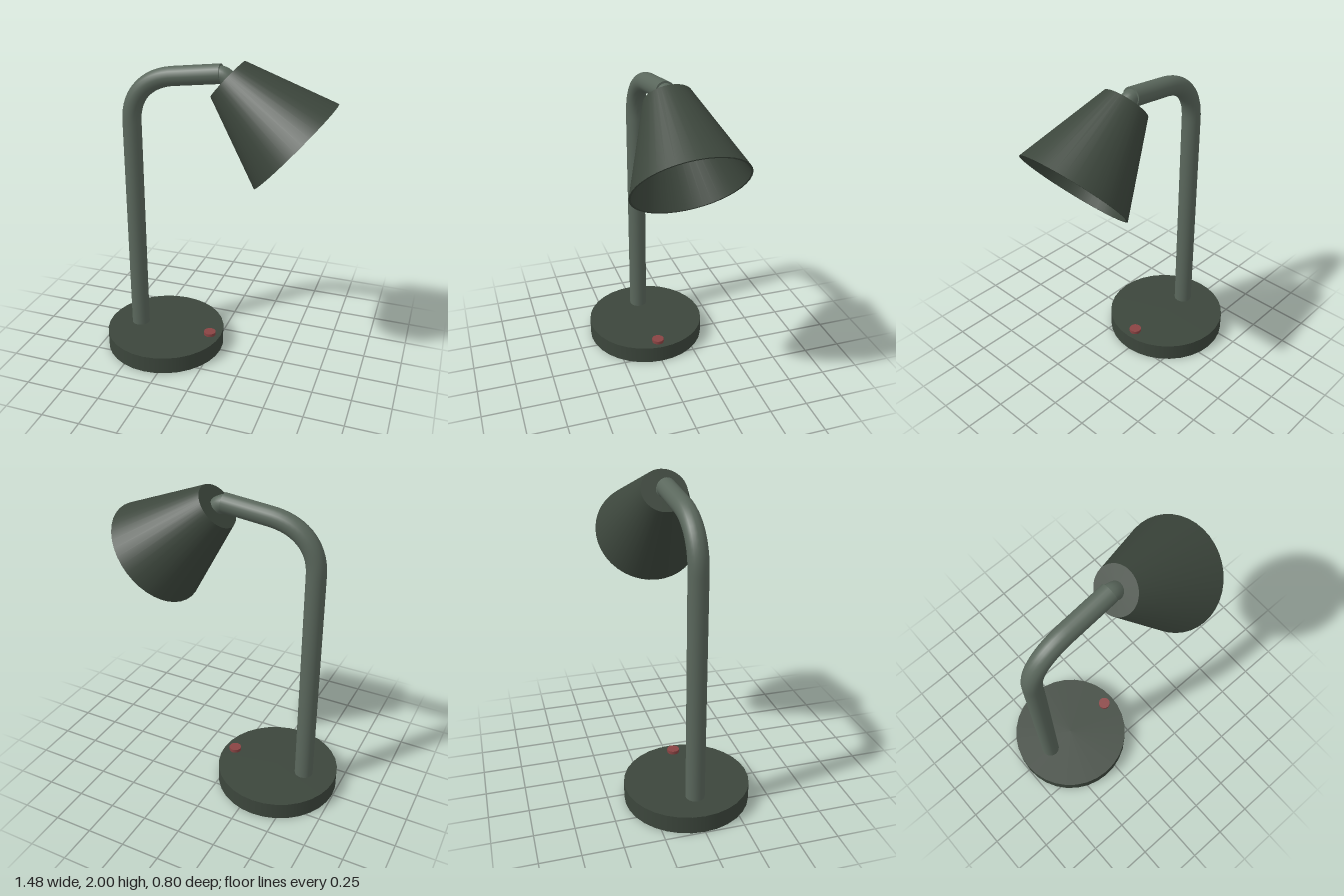
import * as THREE from 'three';
import { toCreasedNormals } from 'three/addons/utils/BufferGeometryUtils.js';

const V = (x, y, z) => new THREE.Vector3(x, y, z);
const paint = (color) => new THREE.MeshStandardMaterial({ color });

export function createModel() {
  const lamp = new THREE.Group();
  const dark = paint(0x3c463c);
  const light = paint(0x5a675c);
  const red = paint(0x8a4343);

  const add = (name, geometry, material, position = V(0, 0, 0)) => {
    const mesh = new THREE.Mesh(geometry, material);
    mesh.name = name;
    mesh.position.copy(position);
    lamp.add(mesh);
    return mesh;
  };
  // Turns a mesh so that its y axis points along a direction
  const aim = (mesh, dir) => mesh.quaternion.setFromUnitVectors(V(0, 1, 0), dir.clone().normalize());

  // Round base with a push button
  add('base', new THREE.CylinderGeometry(0.4, 0.4, 0.115, 32), dark, V(-0.345, 0.0575, 0));
  add('button', new THREE.CylinderGeometry(0.04, 0.04, 0.04, 20), red, V(-0.02, 0.117, 0.005));

  // Bent arm: upright post, bend and a slightly rising, slightly turned reach
  const post = V(-0.535, 1.58, 0);
  const bendEnd = V(-0.26, 1.882, -0.01);
  const armEnd = V(0.043, 1.918, -0.02);
  const path = new THREE.CurvePath();
  path.add(new THREE.LineCurve3(V(-0.535, 0.1, 0), post));
  path.add(new THREE.CubicBezierCurve3(post, V(-0.535, 1.75, 0), V(-0.43, 1.858, -0.005), bendEnd));
  path.add(new THREE.LineCurve3(bendEnd, armEnd));
  add('arm', new THREE.TubeGeometry(path, 64, 0.06, 20), light);
  const reach = armEnd.clone().sub(bendEnd);
  aim(add('armEndCap', new THREE.CylinderGeometry(0.06, 0.06, 0.006, 20), light, armEnd), reach);

  // Short swivel joint between arm and shade
  const smallEnd = V(0.085, 1.89, -0.02);
  const wideEnd = V(0.51, 1.52, -0.02);
  const axis = smallEnd.clone().sub(wideEnd);
  const jointPath = new THREE.CatmullRomCurve3([V(0.02, 1.915, -0.02), V(0.06, 1.908, -0.02), V(0.12, 1.86, -0.02)]);
  add('joint', new THREE.TubeGeometry(jointPath, 10, 0.053, 20), light);
  aim(add('jointEndCap', new THREE.CylinderGeometry(0.053, 0.053, 0.01, 20), light, V(0.118, 1.861, -0.02)), axis.clone().negate());

  // Hollow conical shade, closed at the small end and open at the wide end
  const length = axis.length();
  const wall = 0.012;
  const profile = [
    [0, length - wall], [0.145 - wall, length - wall], [0.35 - wall, 0],
    [0.35, 0], [0.145, length], [0, length],
  ].map(([r, y]) => new THREE.Vector2(r, y));
  const shade = toCreasedNormals(new THREE.LatheGeometry(profile, 40), 0.6);
  aim(add('shade', shade, dark, wideEnd), axis);

  return lamp;
}
